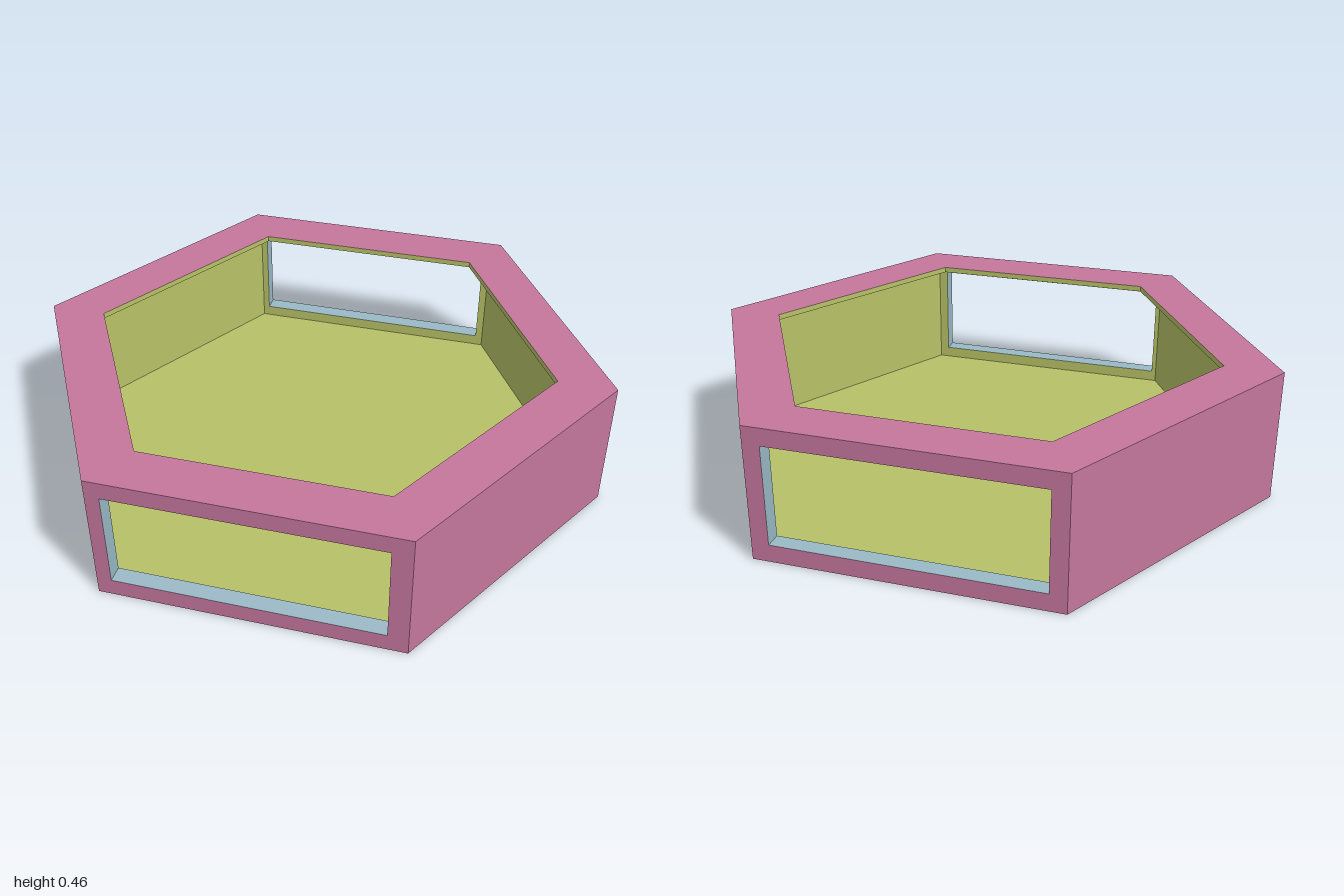
import * as THREE from 'three';

const R = 1, H = 0.46;            // outer hexagon radius and height
const IN = 0.934;                 // inside wall radius
const RIM = 0.805;                // rim opening radius
const FLOOR = 0.02, CEIL = 0.44;  // inside floor and rim underside
const WIN = { w: 0.885, y0: 0.06, y1: 0.4 };
const APO = Math.cos(Math.PI / 6);

const mat = (name, color) => Object.assign(new THREE.MeshStandardMaterial({ color }), { name });

function add(parent, name, geometry, material) {
  const mesh = new THREE.Mesh(geometry, material);
  mesh.name = name;
  parent.add(mesh);
  return mesh;
}

// Flat hexagon with corners on +x and -x, optionally with a hexagonal opening
function hexagon(r, hole, up, y) {
  const pts = (q) => Array.from({ length: 6 }, (_, i) =>
    new THREE.Vector2(q * Math.cos(i * Math.PI / 3), q * Math.sin(i * Math.PI / 3)));
  const shape = new THREE.Shape(pts(r));
  if (hole) shape.holes.push(new THREE.Path(pts(hole)));
  return new THREE.ShapeGeometry(shape).rotateX(up ? -Math.PI / 2 : Math.PI / 2).translate(0, y, 0);
}

// Upright rectangle facing +z, with an optional window centred on x = offset
function panel(width, y0, y1, windowed, offset) {
  const rect = (Type, a, b, c, d) => new Type([[a, c], [b, c], [b, d], [a, d]].map((p) => new THREE.Vector2(...p)));
  const shape = rect(THREE.Shape, -width / 2, width / 2, y0, y1);
  if (windowed) shape.holes.push(rect(THREE.Path, offset - WIN.w / 2, offset + WIN.w / 2, WIN.y0, WIN.y1));
  return new THREE.ShapeGeometry(shape);
}

// Four reveals lining a window through the wall thickness
function windowFrame(offset, material) {
  const frame = new THREE.Group();
  frame.name = 'windowFrame';
  const depth = (R - IN) * APO, z = (R + IN) / 2 * APO;
  const h = WIN.y1 - WIN.y0, mid = (WIN.y0 + WIN.y1) / 2;
  const flat = () => new THREE.PlaneGeometry(WIN.w, depth);
  const side = () => new THREE.PlaneGeometry(depth, h);
  add(frame, 'sill', flat().rotateX(-Math.PI / 2).translate(offset, WIN.y0, z), material);
  add(frame, 'lintel', flat().rotateX(Math.PI / 2).translate(offset, WIN.y1, z), material);
  add(frame, 'rightJamb', side().rotateY(Math.PI / 2).translate(offset - WIN.w / 2, mid, z), material);
  add(frame, 'leftJamb', side().rotateY(-Math.PI / 2).translate(offset + WIN.w / 2, mid, z), material);
  return frame;
}

export function createModel() {
  const model = new THREE.Group();
  model.name = 'hexagonalTray';
  const pink = mat('dusty pink', 0xc4769c);
  const olive = mat('olive green', 0xb6c066);
  const blue = mat('pale blue', 0x9abac6);

  // Base, floor and rim
  add(model, 'base', hexagon(R, 0, false, 0), pink);
  add(model, 'floor', hexagon(IN, 0, true, FLOOR), olive);
  add(model, 'rimTop', hexagon(R, RIM, true, H), pink);
  add(model, 'rimUnderside', hexagon(IN, RIM, false, CEIL), olive);

  // Six walls; the front and back ones have windows
  for (let k = 0; k < 6; k++) {
    const wall = new THREE.Group();
    wall.name = 'wall';
    wall.rotation.y = k * Math.PI / 3;
    const windowed = k % 3 === 0;
    const offset = k === 0 ? -0.0085 : 0.0015;
    add(wall, 'outerWall', panel(R, 0, H, windowed, offset).translate(0, 0, R * APO), pink);
    add(wall, 'innerWall', panel(IN, FLOOR, CEIL, windowed, -offset)
      .rotateY(Math.PI).translate(0, 0, IN * APO), olive);
    add(wall, 'rimEdge', panel(RIM, CEIL, H, false, 0)
      .rotateY(Math.PI).translate(0, 0, RIM * APO), olive);
    if (windowed) wall.add(windowFrame(offset, blue));
    model.add(wall);
  }

  model.rotation.y = -0.0045;
  return model;
}
